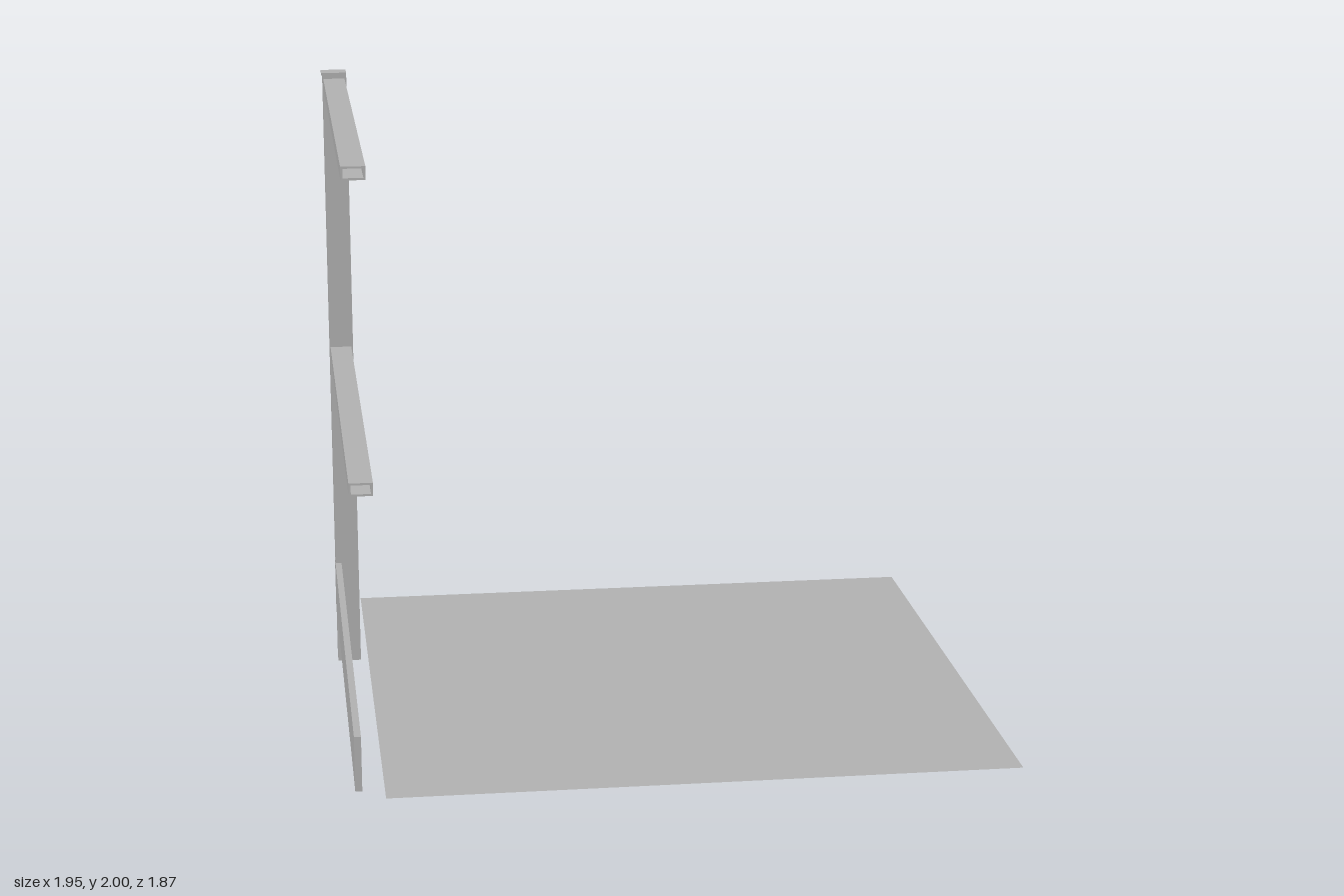
import * as THREE from 'three';

export function createModel() {
  const group = new THREE.Group();
  group.name = 'guardrailPlatform';

  const grey = new THREE.MeshStandardMaterial({ color: 0xb2b2b2, side: THREE.DoubleSide });
  grey.name = 'grey steel';

  const add = (name, geometry, x, y, z) => {
    const mesh = new THREE.Mesh(geometry, grey);
    mesh.name = name;
    mesh.position.set(x, y, z);
    group.add(mesh);
    return mesh;
  };

  // Open-ended rectangular tube, w by h in section, centred along z
  const tube = (w, h, length) => {
    const wall = 0.006;
    const rect = (path, a, b) =>
      path.moveTo(-a, -b).lineTo(a, -b).lineTo(a, b).lineTo(-a, b).closePath();
    const section = rect(new THREE.Shape(), w / 2, h / 2);
    section.holes.push(rect(new THREE.Path(), w / 2 - wall, h / 2 - wall));
    return new THREE.ExtrudeGeometry(section, { depth: length, bevelEnabled: false })
      .translate(0, 0, -length / 2);
  };

  // Floor sheet
  add('floor', new THREE.PlaneGeometry(1.864, 1.87).rotateX(-Math.PI / 2), 0.048, 0.155, -0.003);

  // Upright post, open at the foot, with a flat cap
  const post = tube(0.076, 0.07, 1.992).rotateX(-Math.PI / 2);
  add('post', post, -0.932, 0.996, -0.775);
  add('postCap', new THREE.BoxGeometry(0.08, 0.008, 0.074), -0.934, 1.996, -0.777);

  // Hand rail and middle rail
  for (const [name, y] of [['handRail', 1.962], ['middleRail', 1.073]]) {
    add(name, tube(0.068, 0.038, 1.742), -0.934, y, 0.061);
  }

  // Toe board
  add('toeBoard', new THREE.BoxGeometry(0.02, 0.165, 1.742), -0.961, 0.263, 0.061);

  return group;
}
